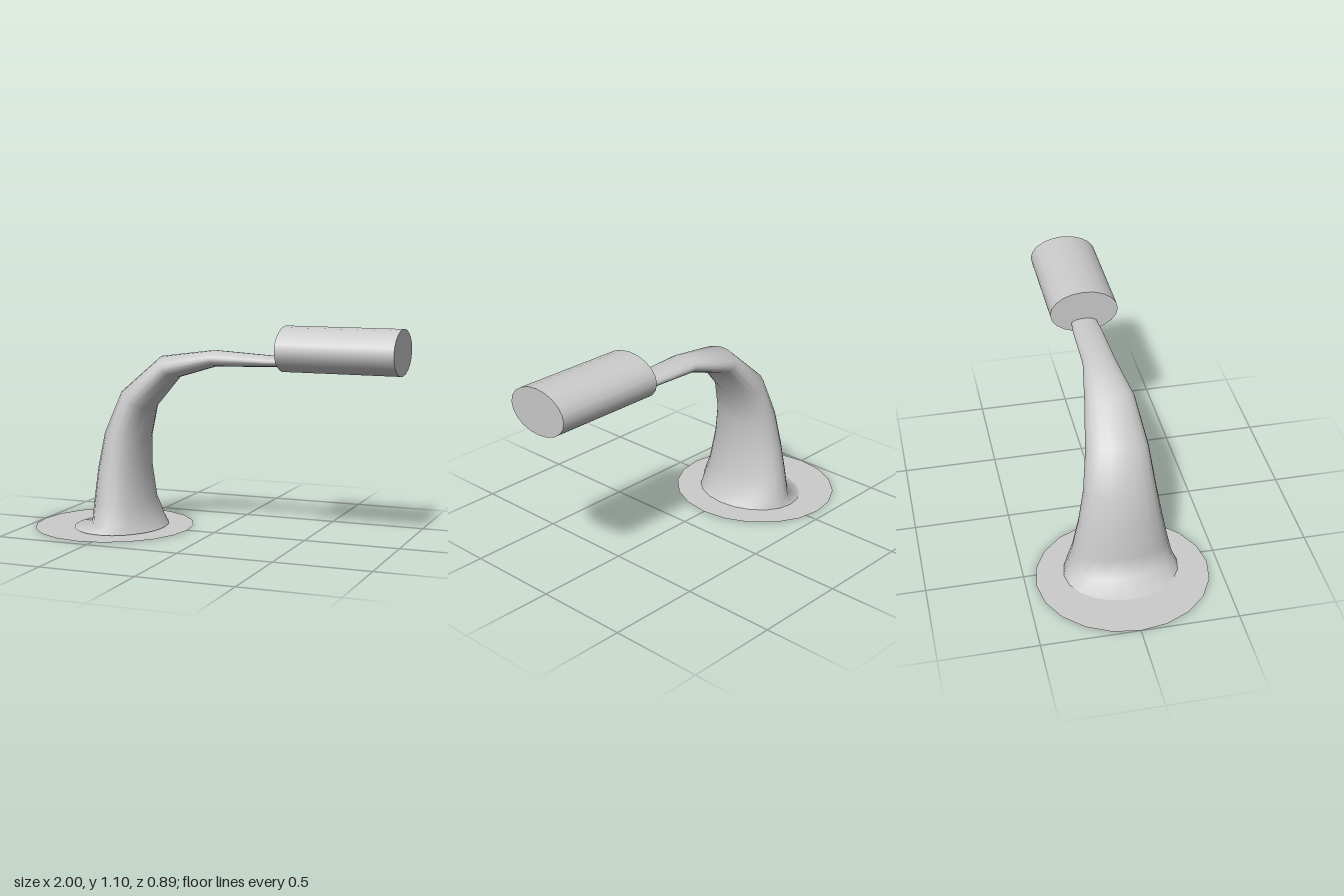
import * as THREE from 'three';

const material = new THREE.MeshStandardMaterial({ color: 0xcccccc, side: THREE.DoubleSide });
const SIDES = 20;

// Neck cross-sections: [outer x, outer y, inner x, inner y, half width in z]
const SECTIONS = [
  [-0.78, 0.004, -0.29, 0.004, 0.297],
  [-0.665, 0.04, -0.325, 0.05, 0.277],
  [-0.653, 0.16, -0.365, 0.15, 0.25],
  [-0.635, 0.33, -0.385, 0.32, 0.215],
  [-0.6, 0.52, -0.38, 0.48, 0.185],
  [-0.505, 0.74, -0.345, 0.645, 0.16],
  [-0.29, 0.925, -0.2, 0.815, 0.127],
  [0, 0.965, 0.01, 0.88, 0.085],
  [0.3, 0.948, 0.3, 0.89, 0.077],
  [0.4, 0.944, 0.4, 0.895, 0.068],
];

// Skin a smooth tube over elliptical rings
function loft(sections) {
  const positions = [], indices = [];
  sections.forEach(([ox, oy, ix, iy, w], row) => {
    for (let i = 0; i < SIDES; i++) {
      const angle = (i / SIDES) * Math.PI * 2;
      const c = Math.cos(angle) / 2;
      positions.push((ox + ix) / 2 + (ix - ox) * c, (oy + iy) / 2 + (iy - oy) * c, w * Math.sin(angle));
      if (row === sections.length - 1) continue;
      const a = row * SIDES + i, b = row * SIDES + (i + 1) % SIDES;
      indices.push(a, a + SIDES, b, b, a + SIDES, b + SIDES);
    }
  });
  const geometry = new THREE.BufferGeometry();
  geometry.setAttribute('position', new THREE.Float32BufferAttribute(positions, 3));
  geometry.setIndex(indices);
  geometry.computeVertexNormals();
  return geometry;
}

export function createModel() {
  const group = new THREE.Group();
  const add = (name, geometry) => {
    const mesh = new THREE.Mesh(geometry, material);
    mesh.name = name;
    group.add(mesh);
    return mesh;
  };

  // Flat, slightly oval base plate
  const plate = new THREE.CircleGeometry(1, SIDES);
  plate.rotateX(-Math.PI / 2).scale(0.423, 1, 0.447).translate(-0.577, 0, 0);
  add('basePlate', plate);

  // Curved neck, flared at the foot
  add('neck', loft(SECTIONS));

  // Oval barrel head
  const head = new THREE.CylinderGeometry(1, 1, 0.61, SIDES);
  head.rotateZ(-Math.PI / 2).scale(1, 0.118, 0.181).translate(0.695, 0.985, 0);
  add('head', head);

  return group;
}
